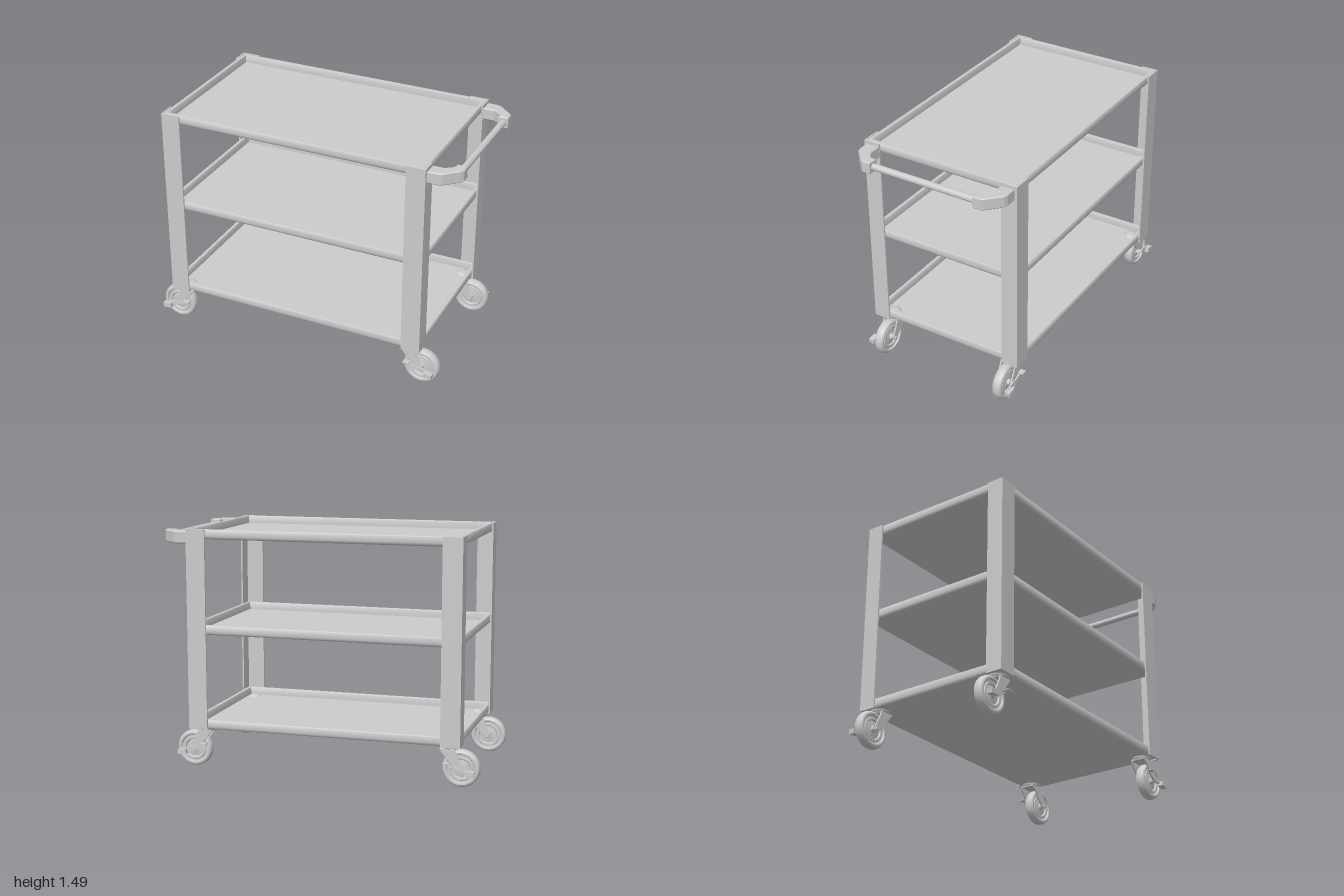
import * as THREE from 'three';
import { toCreasedNormals } from 'three/addons/utils/BufferGeometryUtils.js';

const material = new THREE.MeshStandardMaterial({ color: 0xcccccc });
const CX = -0.0425, HX = 0.8425, HZ = 0.505; // tray centre and half sizes

function add(parent, name, geometry, x = 0, y = 0, z = 0) {
  const mesh = new THREE.Mesh(geometry, material);
  mesh.name = name;
  mesh.position.set(x, y, z);
  parent.add(mesh);
  return mesh;
}

const creased = (geometry, angle = 0.6) => toCreasedNormals(geometry, angle);

function extrude(points, depth, bevel = 0) {
  const shape = new THREE.Shape(points.map(([x, y]) => new THREE.Vector2(x, y)));
  return new THREE.ExtrudeGeometry(shape, {
    depth: depth - 2 * bevel, bevelEnabled: bevel > 0, bevelSize: bevel,
    bevelThickness: bevel, bevelOffset: -bevel, bevelSegments: 1,
  }).translate(0, 0, bevel);
}

// Rectangular loops stepped through a list of [inset, height], capped at both ends.
function panGeometry(profile) {
  const positions = [], index = [];
  for (const [inset, y] of profile) {
    const x = HX - inset, z = HZ - inset;
    positions.push(-x, y, z, x, y, z, x, y, -z, -x, y, -z);
  }
  for (let i = 0; i < profile.length - 1; i++) {
    for (let j = 0; j < 4; j++) {
      const a = i * 4 + j, b = i * 4 + (j + 1) % 4;
      index.push(a, b, b + 4, a, b + 4, a + 4);
    }
  }
  const n = (profile.length - 1) * 4;
  index.push(0, 2, 1, 0, 3, 2, n, n + 1, n + 2, n, n + 2, n + 3);
  const geometry = new THREE.BufferGeometry();
  geometry.setAttribute('position', new THREE.Float32BufferAttribute(positions, 3));
  geometry.setIndex(index);
  return creased(geometry, 0.7);
}

function wheelGeometry() {
  const half = [[0, 0.036], [0.018, 0.036], [0.02, 0.02], [0.055, 0.015], [0.06, 0.024],
    [0.072, 0.024], [0.075, 0.019], [0.084, 0.02], [0.088, 0.029], [0.098, 0.03],
    [0.108, 0.024], [0.114, 0.011]];
  const points = half.map(([r, y]) => new THREE.Vector2(r, -y));
  points.push(...half.slice().reverse().map(([r, y]) => new THREE.Vector2(r, y)));
  return creased(new THREE.LatheGeometry(points, 32).rotateX(Math.PI / 2), 0.5);
}

// Swivel caster; the wheel trails outward along sx and the pedal sits on the sz side.
function caster(sx, sz) {
  const group = new THREE.Group();
  group.name = 'caster';
  group.position.set(CX + sx * 0.7725, 0, sz * 0.43);
  const wx = sx * 0.0725, wy = 0.114;

  add(group, 'wheel', wheelGeometry(), wx, wy, 0);
  add(group, 'axle', creased(new THREE.CylinderGeometry(0.012, 0.012, 0.122, 12).rotateX(Math.PI / 2)), wx, wy, 0);
  add(group, 'swivelPlate', creased(new THREE.CylinderGeometry(0.064, 0.06, 0.012, 24)), 0, 0.244, 0);
  add(group, 'swivelBearing', creased(new THREE.CylinderGeometry(0.056, 0.05, 0.012, 24)), 0, 0.234, 0);
  add(group, 'mountingCap', creased(new THREE.SphereGeometry(0.045, 24, 6, 0, Math.PI * 2, 0, Math.PI / 2)
    .scale(1, 0.4, 1)), 0, 0.258, 0);

  // Fork cheeks
  const cheek = [[-0.052, 0.236], [0.04, 0.236], [0.058, 0.19], [0.09, 0.125], [0.088, 0.104],
    [0.072, 0.096], [0.056, 0.102], [0, 0.165], [-0.04, 0.215]].map(([x, y]) => [sx * x, y]);
  for (const side of [-1, 1]) {
    add(group, 'forkCheek', extrude(cheek, 0.01, 0.002), 0, 0, side * 0.048 - 0.005);
  }
  add(group, 'forkCrown', new THREE.BoxGeometry(0.085, 0.008, 0.1), -sx * 0.008, 0.232, 0);

  // Brake lever with a pad at each end
  const lever = [[-0.095, 0.045], [-0.04, 0.018], [0, 0.016], [0.09, -0.002], [0.09, -0.032],
    [0.04, -0.016], [0, -0.014], [-0.045, 0.008]].map(([x, y]) => [wx + sx * x, wy + y]);
  add(group, 'brakeLever', extrude(lever, 0.01), 0, 0, sz * 0.056 - 0.005);
  add(group, 'brakePad', new THREE.BoxGeometry(0.055, 0.03, 0.036), wx + sx * 0.062, 0.098, sz * 0.067)
    .rotation.z = -sx * 0.12;
  add(group, 'releasePad', new THREE.BoxGeometry(0.04, 0.006, 0.036), wx - sx * 0.078, 0.154, sz * 0.067);
  return group;
}

export function createModel() {
  const cart = new THREE.Group();
  cart.name = 'utilityCart';

  // Three shallow trays with raised, folded rims
  const pan = panGeometry([[0.022, 0], [0.009, 0.004], [0.003, 0.011], [0, 0.022], [0, 0.055],
    [0.004, 0.06], [0.022, 0.06], [0.025, 0.055], [0.025, 0.012]]);
  for (const [name, y] of [['bottomTray', 0.25], ['middleTray', 0.84], ['topTray', 1.425]]) {
    add(cart, name, pan, CX, y, 0);
  }

  for (const sx of [-1, 1]) {
    for (const sz of [-1, 1]) {
      // Angle-iron corner post
      const post = new THREE.Group();
      post.name = 'cornerPost';
      cart.add(post);
      add(post, 'postSideFlange', new THREE.BoxGeometry(0.12, 1.235, 0.01),
        CX + sx * (HX + 0.01 - 0.06), 0.8675, sz * (HZ + 0.005));
      add(post, 'postEndFlange', new THREE.BoxGeometry(0.01, 1.235, 0.105),
        CX + sx * (HX + 0.005), 0.8675, sz * (HZ + 0.01 - 0.0525));
      cart.add(caster(sx, sz));
    }
  }

  // Push handle: two angled brackets joined by a round bar
  const handle = new THREE.Group();
  handle.name = 'pushHandle';
  cart.add(handle);
  const bracket = [[0.81, 0.498], [0.875, 0.498], [0.9, 0.49], [0.98, 0.415], [0.993, 0.395], [0.993, 0.342],
    [0.93, 0.342], [0.93, 0.37], [0.915, 0.39], [0.88, 0.412], [0.81, 0.412]];
  for (const sz of [-1, 1]) {
    const outline = bracket.map(([x, z]) => [x, sz * z]);
    add(handle, 'handleBracket', extrude(outline, 0.075, 0.006).rotateX(Math.PI / 2), 0, 1.47, 0);
  }
  add(handle, 'handleBar', creased(new THREE.CylinderGeometry(0.021, 0.021, 0.7, 20).rotateX(Math.PI / 2)), 0.961, 1.433, 0);

  return cart;
}
